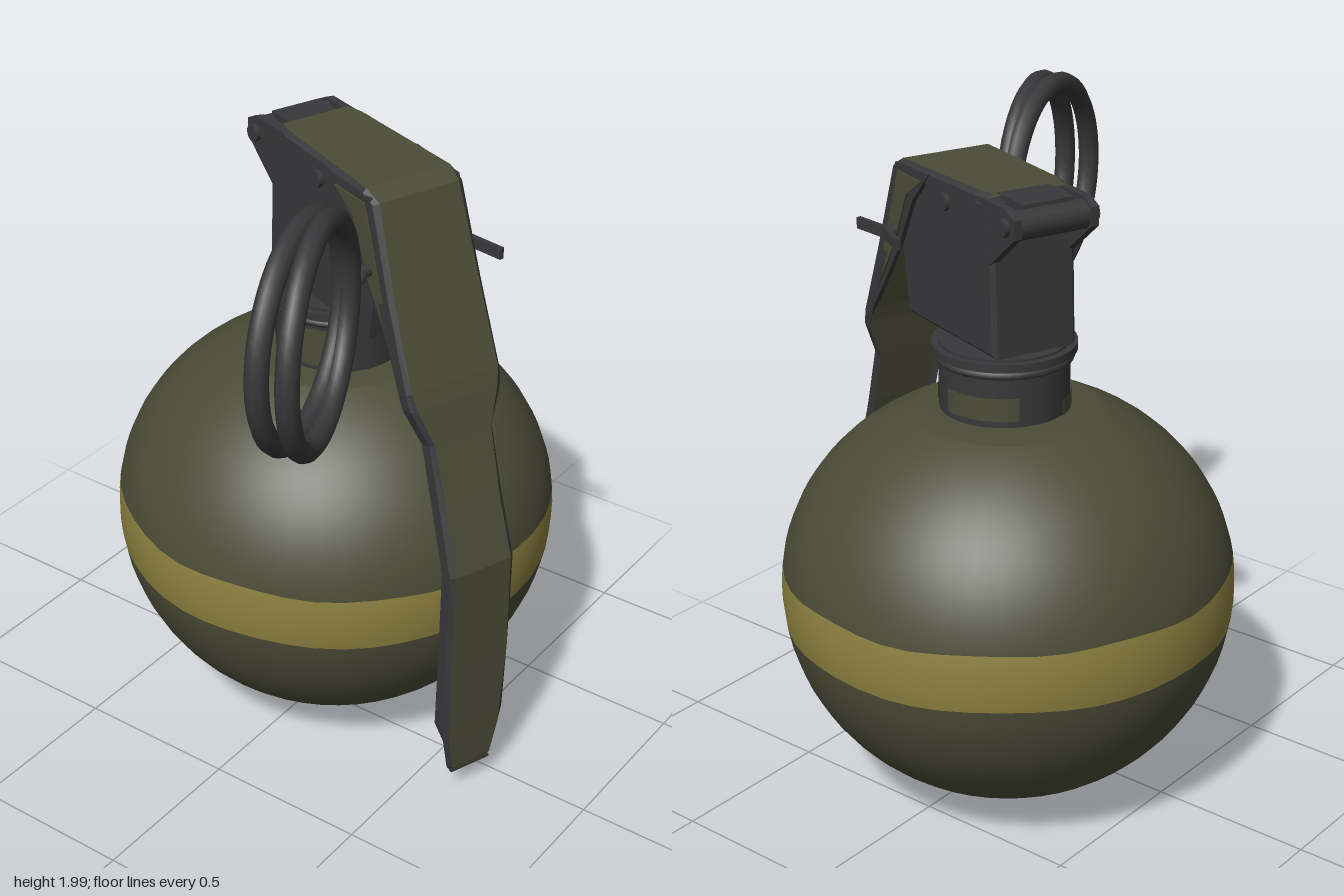
import * as THREE from 'three';

const paint = (name, color, side = THREE.FrontSide) => {
  const m = new THREE.MeshStandardMaterial({ color, side });
  m.name = name;
  return m;
};

export function createModel() {
  const model = new THREE.Group();
  model.name = 'handGrenade';
  const olive = paint('olive paint', 0x4b4c37, THREE.DoubleSide);
  const metal = paint('dark metal', 0x38383a, THREE.DoubleSide);
  const yellow = paint('yellow band', 0x8d8140, THREE.DoubleSide);

  const add = (parent, name, geo, mat, x = 0, y = 0, z = 0) => {
    const mesh = new THREE.Mesh(geo, mat);
    mesh.name = name;
    mesh.position.set(x, y, z);
    parent.add(mesh);
    return mesh;
  };

  // Round body: zones of one egg-like surface between two latitude curves
  const zone = (low, high, rows) => {
    const cols = 48, pos = [], nor = [], idx = [];
    for (let j = 0; j <= rows; j++) {
      for (let i = 0; i <= cols; i++) {
        const a = (i / cols) * Math.PI * 2;
        const lat = THREE.MathUtils.lerp(low(a), high(a), j / rows);
        const h = lat < 0 ? 0.655 : 0.6, c = Math.cos(lat), s = Math.sin(lat);
        pos.push(0.675 * c * Math.sin(a), 0.66 + h * s, 0.675 * c * Math.cos(a));
        const n = new THREE.Vector3(c * Math.sin(a) / 0.675, s / h, c * Math.cos(a) / 0.675).normalize();
        nor.push(n.x, n.y, n.z);
        if (i < cols && j < rows) {
          const k = j * (cols + 1) + i, m = k + cols + 1;
          idx.push(k, k + 1, m + 1, k, m + 1, m);
        }
      }
    }
    const g = new THREE.BufferGeometry();
    g.setAttribute('position', new THREE.Float32BufferAttribute(pos, 3));
    g.setAttribute('normal', new THREE.Float32BufferAttribute(nor, 3));
    g.setIndex(idx);
    return g;
  };
  const bandLow = a => -0.145 - 0.015 * Math.sin(a + 0.5) + 0.006 * Math.sin(7 * a);
  const bandHigh = a => 0.13 - 0.025 * Math.sin(a + 0.3) + 0.007 * Math.sin(9 * a) + 0.005 * Math.sin(5 * a);
  const body = new THREE.Group();
  body.name = 'body';
  body.position.set(-0.035, 0, -0.16);
  model.add(body);
  add(body, 'lowerBody', zone(() => -Math.PI / 2, bandLow, 16), olive);
  add(body, 'bodyBand', zone(bandLow, bandHigh, 3), yellow);
  add(body, 'upperBody', zone(bandHigh, () => 1.14, 14), olive);
  const lathe = pts => new THREE.LatheGeometry(pts.map(p => new THREE.Vector2(...p)), 40);
  add(body, 'shoulder', lathe([[0.285, 1.204], [0.24, 1.214], [0.15, 1.216]]), olive);

  // Fuze assembly, turned so the lever points along local +x
  const fuze = new THREE.Group();
  fuze.name = 'fuze';
  fuze.position.set(-0.02, 0, -0.155);
  fuze.rotation.y = -0.36;
  model.add(fuze);
  add(fuze, 'neck', new THREE.CylinderGeometry(0.19, 0.19, 0.22, 40), metal, 0, 1.31, 0);
  add(fuze, 'collar', new THREE.CylinderGeometry(0.212, 0.212, 0.024, 40), metal, 0, 1.402, 0);
  const bead = add(fuze, 'collarBead', new THREE.TorusGeometry(0.192, 0.013, 8, 40), metal, 0, 1.374, 0);
  bead.rotation.x = Math.PI / 2;
  [[0.1, 1.0, 1.29, 0.12], [1.9, 0.7, 1.25, 0.05], [3.2, 1.2, 1.27, 0.07], [5.2, 0.7, 1.24, 0.05]].forEach(([start, len, y, h]) =>
    add(fuze, 'neckPaint', new THREE.CylinderGeometry(0.193, 0.193, h, 12, 1, true, start, len), olive, 0, y, 0));

  // Plate or block from a side outline, centred on local z
  const slab = (pts, depth, bevel = 0) => {
    const g = new THREE.ExtrudeGeometry(new THREE.Shape(pts.map(p => new THREE.Vector2(...p))), {
      depth: depth - 2 * bevel, bevelEnabled: bevel > 0, bevelSize: bevel, bevelThickness: bevel,
      bevelOffset: -bevel, bevelSegments: 1,
    });
    return g.translate(0, 0, -depth / 2 + bevel);
  };
  add(fuze, 'fuzeHead', slab([[-0.175, 1.43], [-0.16, 1.875], [0.35, 1.875], [0.38, 1.72], [0.33, 1.415]], 0.27, 0.012), metal);

  // Folded lever: outline rows of [x, y, half width, flange depth]
  const path = [
    [-0.13, 1.898, 0.125, 0.03], [-0.08, 1.897, 0.14, 0.03], [0.33, 1.887, 0.15, 0.05], [0.385, 1.86, 0.15, 0.07],
    [0.478, 1.6, 0.156, 0.065], [0.575, 1.36, 0.16, 0.05], [0.592, 1.31, 0.155, 0.05], [0.622, 1.2, 0.108, 0.05],
    [0.68, 1.01, 0.108, 0.05], [0.743, 0.82, 0.112, 0.05], [0.74, 0.5, 0.112, 0.05],
    [0.732, 0.26, 0.11, 0.05], [0.73, 0.21, 0.102, 0.014], [0.724, 0.1, 0.082, 0.012], [0.72, 0.08, 0.07, 0.012],
  ];
  const normals = path.map((p, i) => {
    const a = path[Math.max(i - 1, 0)], b = path[Math.min(i + 1, path.length - 1)];
    return new THREE.Vector2(a[1] - b[1], b[0] - a[0]).normalize();
  });
  const rail = (inset, sink, side) => path.map(([x, y, half, d], i) => {
    const k = typeof sink === 'number' ? sink : d;
    return new THREE.Vector3(x - normals[i].x * k, y - normals[i].y * k, side * (half - inset(i)));
  });
  const strip = (A, B) => {
    const pos = [];
    for (let i = 0; i < A.length - 1; i++) {
      for (const v of [A[i], B[i], B[i + 1], A[i], B[i + 1], A[i + 1]]) pos.push(v.x, v.y, v.z);
    }
    const g = new THREE.BufferGeometry();
    g.setAttribute('position', new THREE.Float32BufferAttribute(pos, 3));
    g.computeVertexNormals();
    return g;
  };
  const worn = i => 0.014 + 0.004 * Math.sin(i * 2.4);
  const lever = new THREE.Group();
  lever.name = 'lever';
  fuze.add(lever);
  add(lever, 'leverFace', strip(rail(worn, 0, 1), rail(worn, 0, -1)), olive);
  add(lever, 'leverInside', strip(rail(() => 0, 0.012, -1), rail(() => 0, 0.012, 1)), olive);
  for (const s of [1, -1]) {
    const outer = [rail(() => 0, 0.012, s), rail(worn, 0, s)];
    const side = [rail(() => 0, 'depth', s), rail(() => 0, 0.012, s)];
    if (s < 0) { outer.reverse(); side.reverse(); }
    add(lever, 'leverWornEdge', strip(...outer), metal);
    add(lever, 'leverFlange', strip(...side), metal);
    // Cheek plates where the lever wraps the head
    add(lever, 'leverCheek', slab([[0.16, 1.88], [0.36, 1.87], [0.46, 1.6], [0.56, 1.34], [0.49, 1.42], [0.36, 1.6], [0.26, 1.78]], 0.014), metal, 0, 0, s * 0.144);
    add(lever, 'cheekPaint', slab([[0.2, 1.85], [0.34, 1.85], [0.42, 1.64], [0.5, 1.43], [0.44, 1.52], [0.37, 1.62], [0.29, 1.79]], 0.006), olive, 0, 0, s * 0.153);
  }
  add(lever, 'leverEnd', new THREE.BoxGeometry(0.012, 0.008, 0.14), metal, 0.715, 0.082, 0);

  // Rear hinge
  const rod = (parent, name, r, len, x, y, z) => {
    const m = add(parent, name, new THREE.CylinderGeometry(r, r, len, 16), metal, x, y, z);
    m.rotation.x = Math.PI / 2;
    return m;
  };
  rod(fuze, 'hingeBarrel', 0.042, 0.23, -0.24, 1.835, 0);
  rod(fuze, 'hingePin', 0.026, 0.3, -0.24, 1.835, 0);
  add(fuze, 'hingeTongue', new THREE.BoxGeometry(0.14, 0.022, 0.16), metal, -0.17, 1.878, 0);
  for (const s of [1, -1]) {
    add(fuze, 'hingeEar', slab([[-0.15, 1.7], [-0.285, 1.81], [-0.285, 1.865], [-0.24, 1.885], [-0.1, 1.885]], 0.025), metal, 0, 0, s * 0.122);
    rod(fuze, 'headRivet', 0.026, 0.02, 0.09, 1.82, s * 0.14);
  }

  // Safety pin with a looped eye and two splayed legs
  rod(fuze, 'safetyPin', 0.018, 0.38, 0.37, 1.66, 0);
  const eye = add(fuze, 'pinEye', new THREE.TorusGeometry(0.037, 0.014, 8, 20), metal, 0.37, 1.66, 0.222);
  eye.rotation.x = Math.PI / 2;
  for (const s of [1, -1]) {
    const leg = add(fuze, 'pinLeg', new THREE.BoxGeometry(0.13, 0.034, 0.015), metal, 0.37 + s * 0.06, 1.66, -0.195);
    leg.rotation.y = s * 0.2;
  }

  // Pull ring: two coils fanning out from the eye
  const R = 0.306;
  [0.255, 0.36].forEach((a, i) => {
    const coil = add(model, 'pullRing', new THREE.TorusGeometry(R, 0.032, 10, 48), metal,
      0.25 + i * 0.02 + R * Math.sin(a), 1.66, 0.21 + R * Math.cos(a));
    coil.rotation.y = a - Math.PI / 2;
  });
  return model;
}
